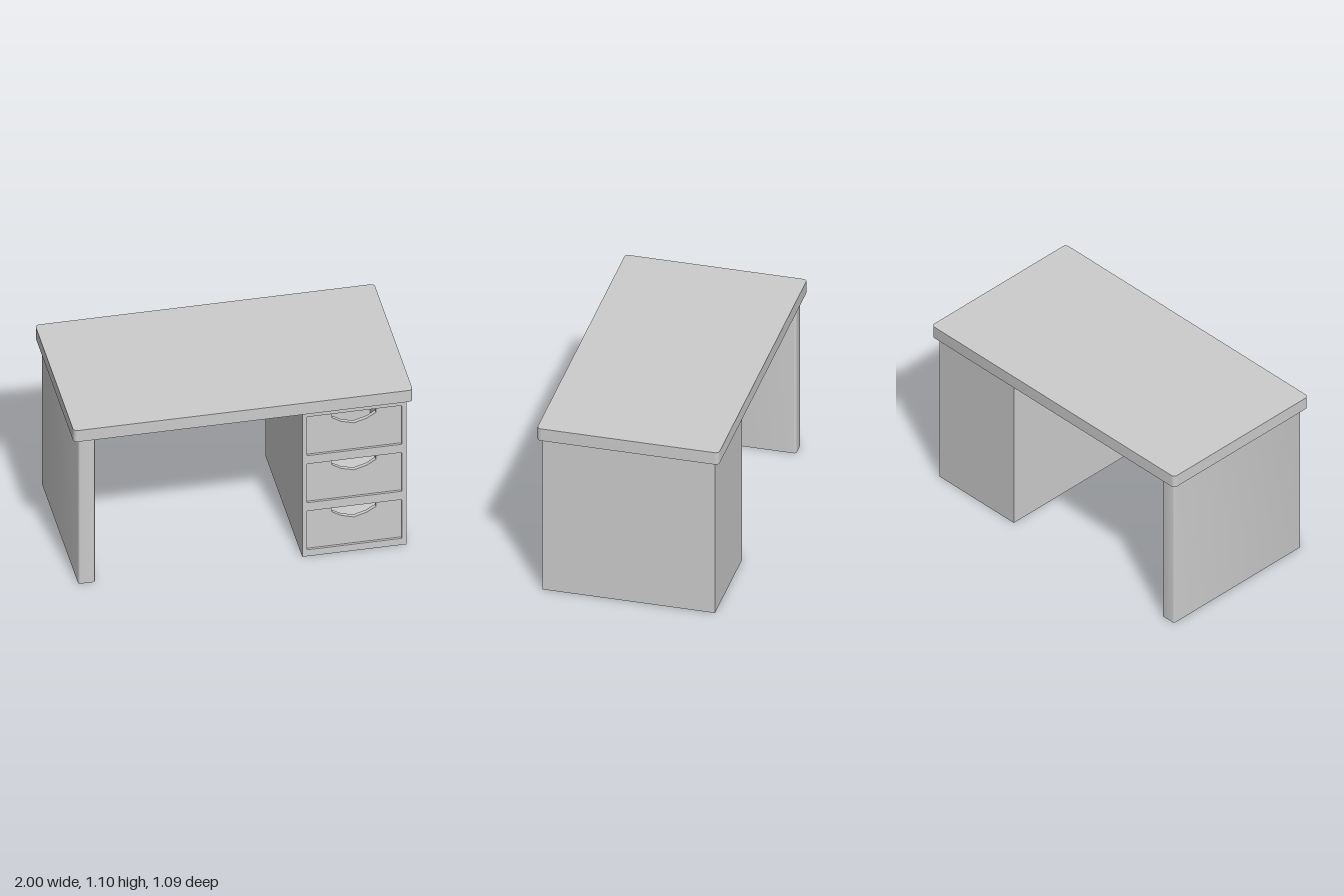
import * as THREE from 'three';
import { toCreasedNormals } from 'three/addons/utils/BufferGeometryUtils.js';

const solid = new THREE.MeshStandardMaterial({ color: 0xcccccc });
const thin = new THREE.MeshStandardMaterial({ color: 0xcccccc, side: THREE.DoubleSide });

// Rectangle from (x0, y0) to (x1, y1) with rounded corners
function roundedRect(x0, y0, x1, y1, r, Type = THREE.Shape) {
  const s = new Type();
  s.absarc(x1 - r, y1 - r, r, 0, Math.PI / 2);
  s.absarc(x0 + r, y1 - r, r, Math.PI / 2, Math.PI);
  s.absarc(x0 + r, y0 + r, r, Math.PI, Math.PI * 1.5);
  s.absarc(x1 - r, y0 + r, r, Math.PI * 1.5, Math.PI * 2);
  s.closePath();
  return s;
}

// Upright prism of a plan outline; uncapped ones are open at both ends
function prism(shape, y, height, capped) {
  let geo = new THREE.ExtrudeGeometry(shape, { depth: height, bevelEnabled: false, curveSegments: 5 });
  if (!capped) {
    const { start, count } = geo.groups[1];
    const sides = new THREE.BufferGeometry();
    const pos = geo.attributes.position.array.slice(start * 3, (start + count) * 3);
    sides.setAttribute('position', new THREE.BufferAttribute(pos, 3));
    geo = sides;
  }
  geo.rotateX(-Math.PI / 2).translate(0, y, 0);
  return toCreasedNormals(geo, 0.6);
}

export function createModel() {
  const desk = new THREE.Group();
  desk.name = 'desk';
  const add = (name, geo, mat, parent = desk) => {
    const mesh = new THREE.Mesh(geo, mat);
    mesh.name = name;
    parent.add(mesh);
    return mesh;
  };

  const under = 1.022, front = 0.517, back = -0.512;
  const left = 0.353, right = 0.967, frameDepth = 0.02;

  // Table top
  add('tableTop', prism(roundedRect(-1, -0.543, 1, 0.543, 0.025), under, 0.08, true), solid);

  // Slab leg, a hollow shell open below
  add('slabLeg', prism(roundedRect(-0.967, -front, -0.867, -back, 0.015), 0, under, false), thin);

  // Drawer cabinet: hollow carcass without its front wall
  const cabinet = new THREE.Group();
  cabinet.name = 'drawerCabinet';
  desk.add(cabinet);
  const depth = front - frameDepth - back;
  const carcass = new THREE.BoxGeometry(right - left, under, depth);
  const index = Array.from(carcass.index.array);
  index.splice(24, 6);
  carcass.setIndex(index);
  carcass.clearGroups();
  carcass.translate((left + right) / 2, under / 2, back + depth / 2);
  add('cabinetCarcass', carcass, thin, cabinet);

  // Front frame with an opening for each drawer
  const x0 = 0.38, x1 = 0.94, cx = 0.66, drawerHeight = 0.273;
  const bottoms = [0.046, 0.378, 0.71];
  const frame = new THREE.Shape([
    new THREE.Vector2(left, 0), new THREE.Vector2(right, 0),
    new THREE.Vector2(right, under), new THREE.Vector2(left, under),
  ]);
  for (const y of bottoms) {
    frame.holes.push(roundedRect(x0, y, x1, y + drawerHeight, 0.004, THREE.Path));
  }
  const frameGeo = new THREE.ExtrudeGeometry(frame, { depth: frameDepth, bevelEnabled: false, curveSegments: 2 });
  frameGeo.translate(0, 0, front - frameDepth);
  add('cabinetFrame', frameGeo, solid, cabinet);

  // Recessed drawer fronts with a scooped hand grip in the top edge
  const grip = [[0.13, 0], [0.13, -0.037], [0.075, -0.07], [0, -0.092],
    [-0.075, -0.07], [-0.13, -0.037], [-0.13, 0]];
  for (const y of bottoms) {
    const top = y + drawerHeight;
    const panel = new THREE.Shape([
      [x0, y], [x1, y], [x1, top],
      ...grip.map(([dx, dy]) => [cx + dx, top + dy]),
      [x0, top],
    ].map(([px, py]) => new THREE.Vector2(px, py)));
    const geo = new THREE.ExtrudeGeometry(panel, { depth: 0.025, bevelEnabled: false });
    geo.translate(0, 0, front - 0.04);
    add('drawerFront', geo, solid, cabinet);
  }

  return desk;
}
